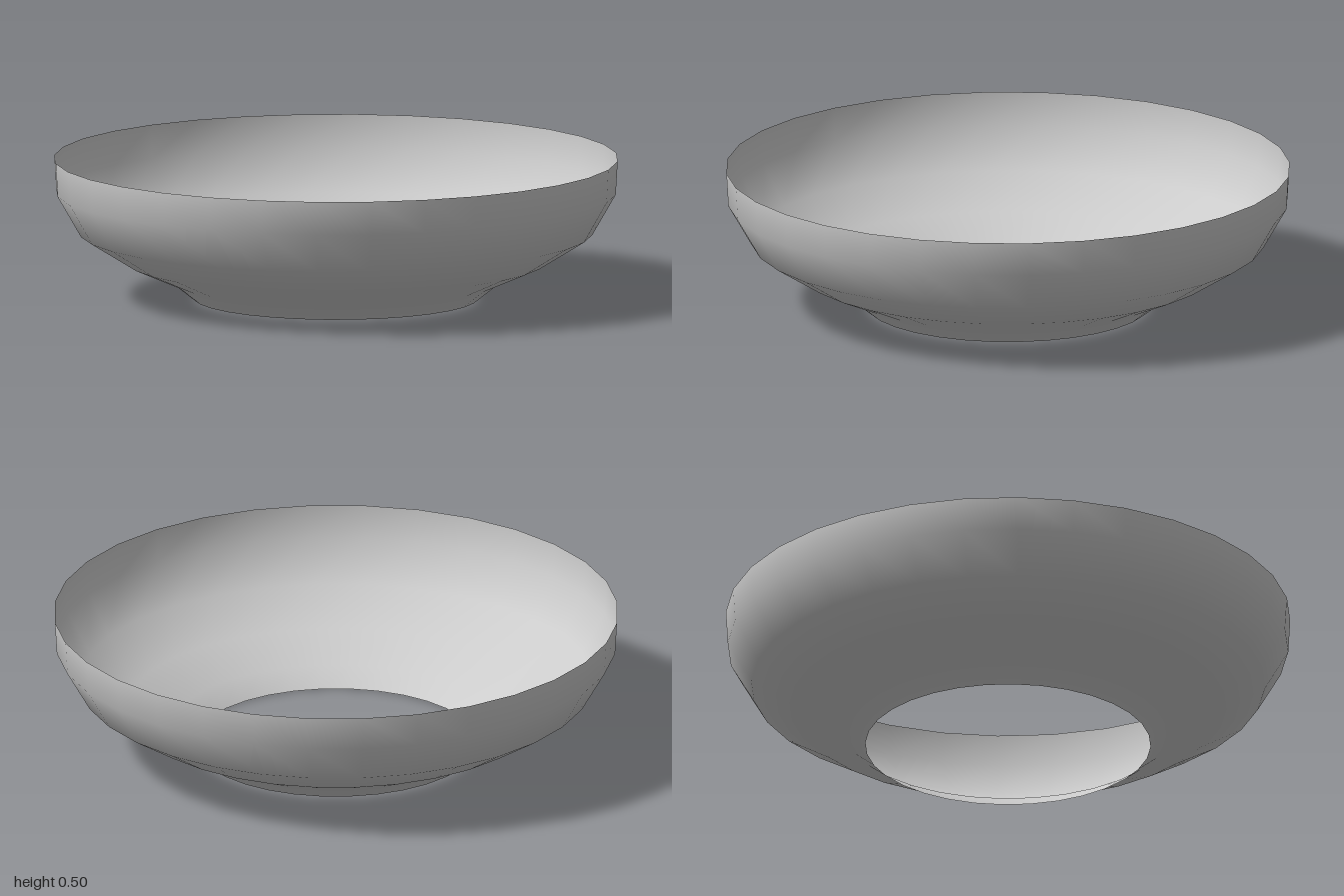
import * as THREE from 'three';

export function createModel() {
  const group = new THREE.Group();
  group.name = 'openBowl';

  // Thin wall profile from the open base up to the rim: radius, height
  const profile = [
    [0.505, 0], [0.58, 0.06], [0.745, 0.132],
    [0.91, 0.235], [0.993, 0.38], [1, 0.5],
  ].map(([r, y]) => new THREE.Vector2(r, y));

  // Smooth single-surface wall, open at the top and bottom
  const wall = new THREE.Mesh(
    new THREE.LatheGeometry(profile, 32),
    new THREE.MeshStandardMaterial({ color: 0xcccccc, side: THREE.DoubleSide }),
  );
  wall.name = 'bowlWall';
  group.add(wall);

  return group;
}
